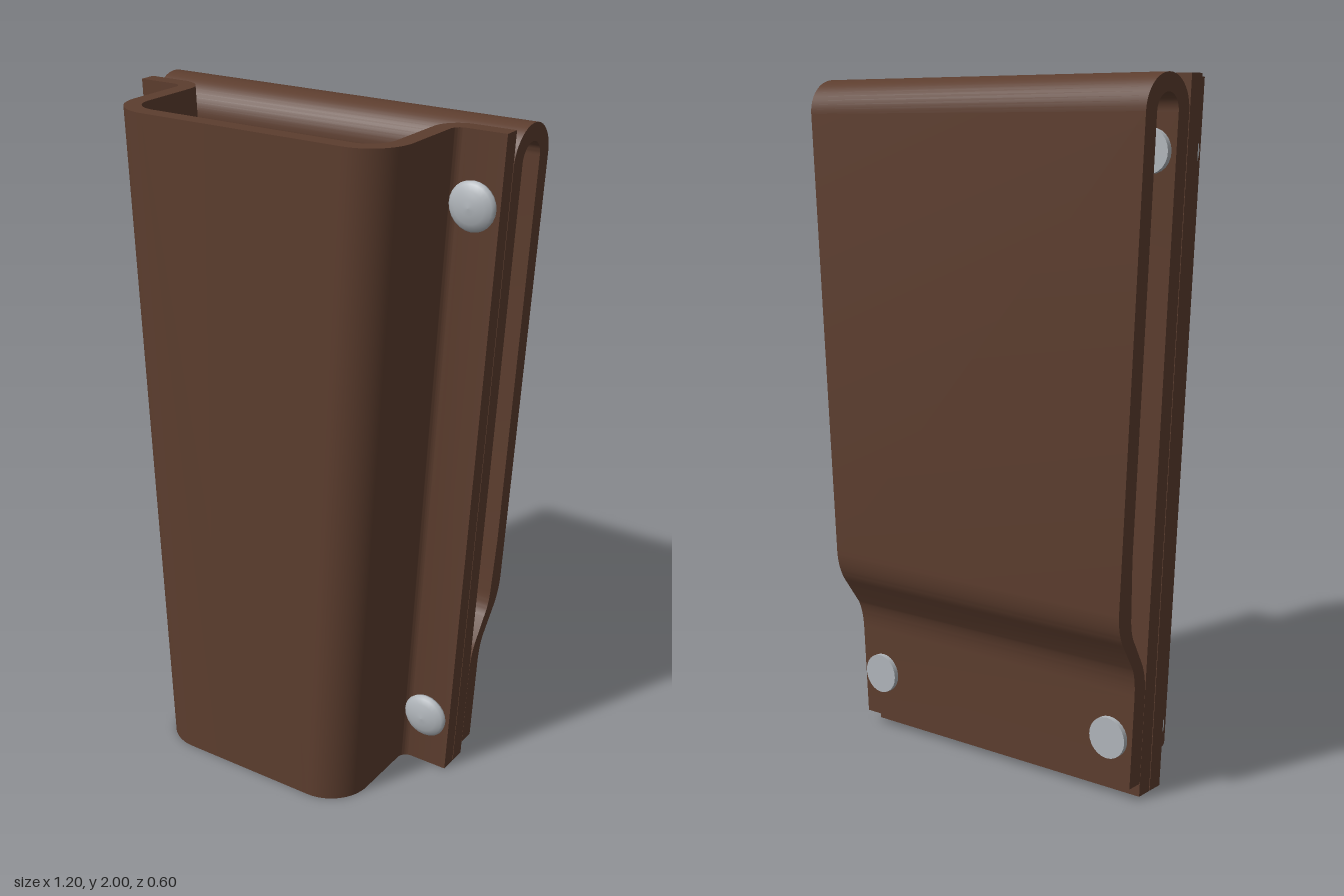
import * as THREE from 'three';
import { toCreasedNormals } from 'three/addons/utils/BufferGeometryUtils.js';

const H = 2;
const leather = new THREE.MeshStandardMaterial({ color: 0x5c3d2e });
leather.name = 'brown leather';
const steel = new THREE.MeshStandardMaterial({ color: 0xb0b5ba });
steel.name = 'grey steel';

// Rewrite every x by a rule of (x, y), then smooth the rounded bends only
function shapeX(geometry, rule) {
  const p = geometry.attributes.position;
  for (let i = 0; i < p.count; i++) p.setX(i, rule(p.getX(i), p.getY(i)));
  return toCreasedNormals(geometry, 0.6);
}

function add(group, name, geometry, material, x = 0, y = 0, z = 0) {
  const mesh = new THREE.Mesh(geometry, material);
  mesh.name = name;
  mesh.position.set(x, y, z);
  group.add(mesh);
}

// Hat-shaped front pouch with side flanges, narrowing downwards
function pouchGeometry() {
  const half = new THREE.Path();
  half.moveTo(0, 0.25);
  half.lineTo(0.32, 0.25);
  half.absarc(0.32, 0.17, 0.08, Math.PI / 2, 0, true);
  half.lineTo(0.4, -0.015);
  half.absarc(0.48, -0.015, 0.08, Math.PI, Math.PI * 1.5, false);
  half.lineTo(0.6, -0.095);
  half.lineTo(0.6, -0.045);
  half.lineTo(0.48, -0.045);
  half.absarc(0.48, -0.015, 0.03, Math.PI * 1.5, Math.PI, true);
  half.lineTo(0.45, 0.17);
  half.absarc(0.32, 0.17, 0.13, 0, Math.PI / 2, false);
  half.lineTo(0, 0.3);
  const right = half.getPoints(8);
  const left = right.filter(p => p.x > 0.001).reverse().map(p => new THREE.Vector2(-p.x, p.y));
  const g = new THREE.ExtrudeGeometry(new THREE.Shape([...right, ...left]), { depth: H, bevelEnabled: false });
  g.rotateX(Math.PI / 2).translate(0, H, 0);
  return shapeX(g, (x, y) => (Math.abs(x) < 0.001 ? 0 : x - Math.sign(x) * 0.05 * (H - y)));
}

// Back panel folded over the top into a belt loop; drawn in (-z, y)
function loopGeometry() {
  const s = new THREE.Shape();
  s.moveTo(0.098, 0);
  s.lineTo(0.098, 1.9);
  s.absarc(0.198, 1.9, 0.1, Math.PI, 0, true);
  s.lineTo(0.298, 0.58);
  s.quadraticCurveTo(0.297, 0.52, 0.27, 0.48);
  s.lineTo(0.217, 0.4);
  s.quadraticCurveTo(0.2, 0.365, 0.2, 0.31);
  s.lineTo(0.2, 0.04);
  s.lineTo(0.149, 0.04);
  // the flap touches the panel below the loop opening
  s.lineTo(0.149, 0.31);
  s.quadraticCurveTo(0.15, 0.36, 0.17, 0.4);
  s.lineTo(0.212, 0.47);
  s.quadraticCurveTo(0.235, 0.5, 0.238, 0.55);
  s.lineTo(0.248, 0.72);
  s.lineTo(0.248, 1.9);
  s.absarc(0.198, 1.9, 0.05, 0, Math.PI, false);
  s.lineTo(0.148, 0);
  s.closePath();
  const g = new THREE.ExtrudeGeometry(s, { depth: 1, bevelEnabled: false, curveSegments: 12 });
  g.rotateY(Math.PI / 2).translate(-0.5, 0, 0);
  return shapeX(g, (x, y) => Math.sign(x) * (0.5 + 0.05 * y));
}

export function createModel() {
  const group = new THREE.Group();
  group.name = 'belt sheath';
  add(group, 'pouch', pouchGeometry(), leather);
  add(group, 'beltLoop', loopGeometry(), leather);

  // Domed rivet heads in front, flat rivet caps behind
  const profile = [[0.055, 0], [0.068, 0.008], [0.07, 0.016], [0.062, 0.025], [0.045, 0.033], [0.022, 0.038], [0, 0.04]];
  const head = new THREE.LatheGeometry(profile.map(([r, y]) => new THREE.Vector2(r, y)), 24).rotateX(Math.PI / 2);
  const cap = new THREE.CylinderGeometry(0.06, 0.06, 0.03, 24).rotateX(Math.PI / 2);
  const rows = [
    { row: 'upper', x: 0.515, y: 1.8, capZ: -0.15 },
    { row: 'lower', x: 0.433, y: 0.18, capZ: -0.2 },
  ];
  for (const { row, x, y, capZ } of rows) {
    for (const side of [-1, 1]) {
      const label = row + (side > 0 ? 'Left' : 'Right');
      add(group, label + 'RivetHead', head, steel, side * x, y, -0.045);
      add(group, label + 'RivetCap', cap, steel, side * x, y, capZ);
    }
  }
  return group;
}
